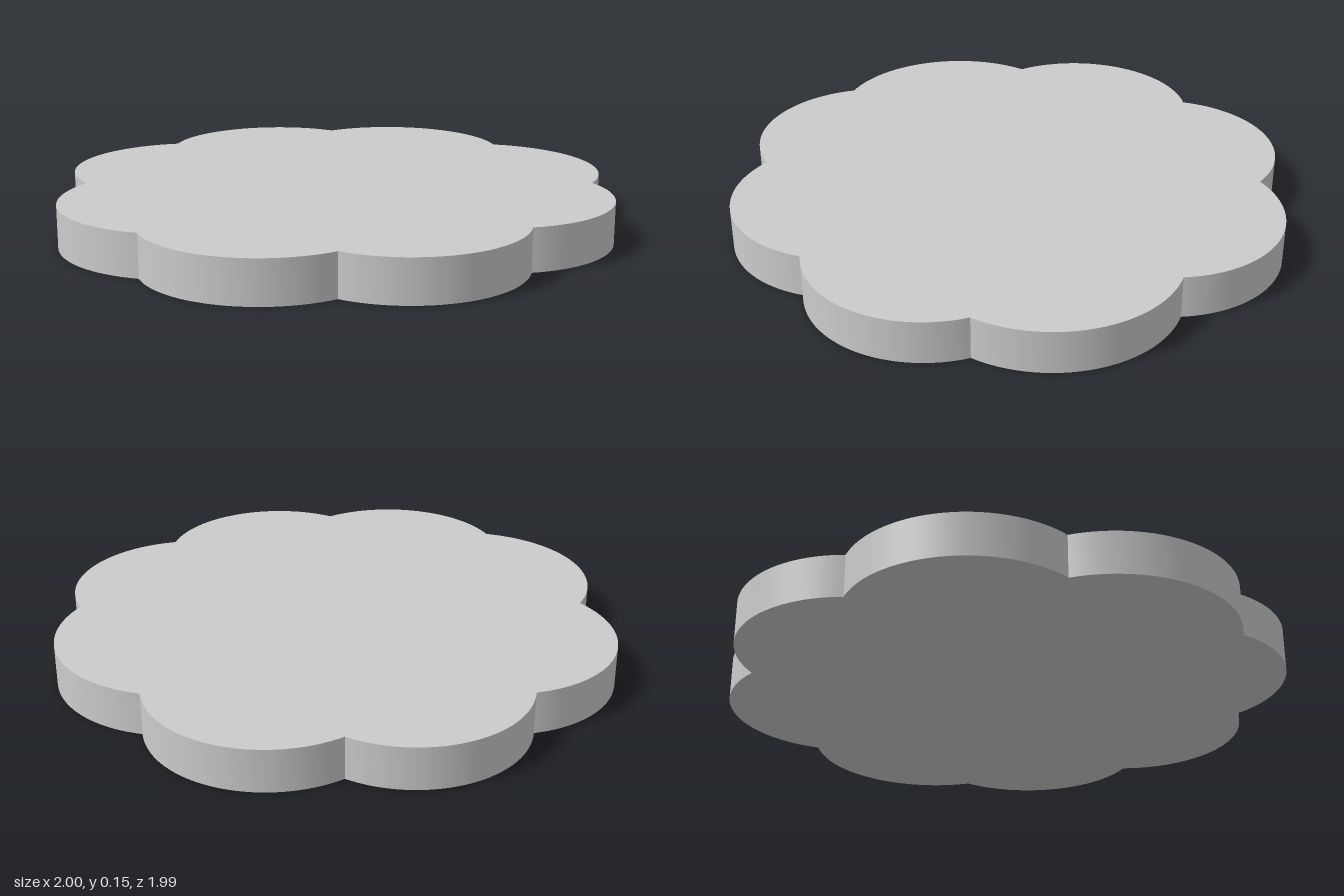
import * as THREE from 'three';
import { toCreasedNormals } from 'three/addons/utils/BufferGeometryUtils.js';

const HEIGHT = 0.15;

// Adds a counter-clockwise arc of radius r from a to b, bulging outwards.
function addLobe(shape, a, b, r) {
  const chord = b.clone().sub(a);
  const half = chord.length() / 2;
  const inward = new THREE.Vector2(-chord.y, chord.x).normalize();
  const c = a.clone().add(b).multiplyScalar(0.5)
    .addScaledVector(inward, Math.sqrt(r * r - half * half));
  shape.absarc(c.x, c.y, r,
    Math.atan2(a.y - c.y, a.x - c.x), Math.atan2(b.y - c.y, b.x - c.x), false);
}

export function createModel() {
  const group = new THREE.Group();
  group.name = 'scallopedPlate';

  // Notches between the lobes: one half, then its mirror image
  const rightSide = [[0.335, -0.815], [0.832, -0.388], [0.823, 0.313], [0.335, 0.82]];
  const leftSide = rightSide.map(([x, y]) => [-x, y]).reverse();
  const notches = [...rightSide, ...leftSide].map(([x, y]) => new THREE.Vector2(x, y));
  const radii = [0.415, 0.442, 0.418, 0.402, 0.418, 0.442, 0.415, 0.408];

  // Eight-lobed outline
  const outline = new THREE.Shape();
  outline.moveTo(notches[0].x, notches[0].y);
  notches.forEach((p, i) => addLobe(outline, p, notches[(i + 1) % notches.length], radii[i]));

  // Flat slab with smooth lobes and sharp notches and rims
  let geometry = new THREE.ExtrudeGeometry(outline, {
    depth: HEIGHT, bevelEnabled: false, curveSegments: 32,
  });
  geometry.rotateX(-Math.PI / 2);
  geometry.translate(0, 0, 0.005);
  geometry = toCreasedNormals(geometry, 0.4);

  const plate = new THREE.Mesh(geometry, new THREE.MeshStandardMaterial({ color: 0xcccccc }));
  plate.name = 'plate';
  group.add(plate);
  return group;
}
